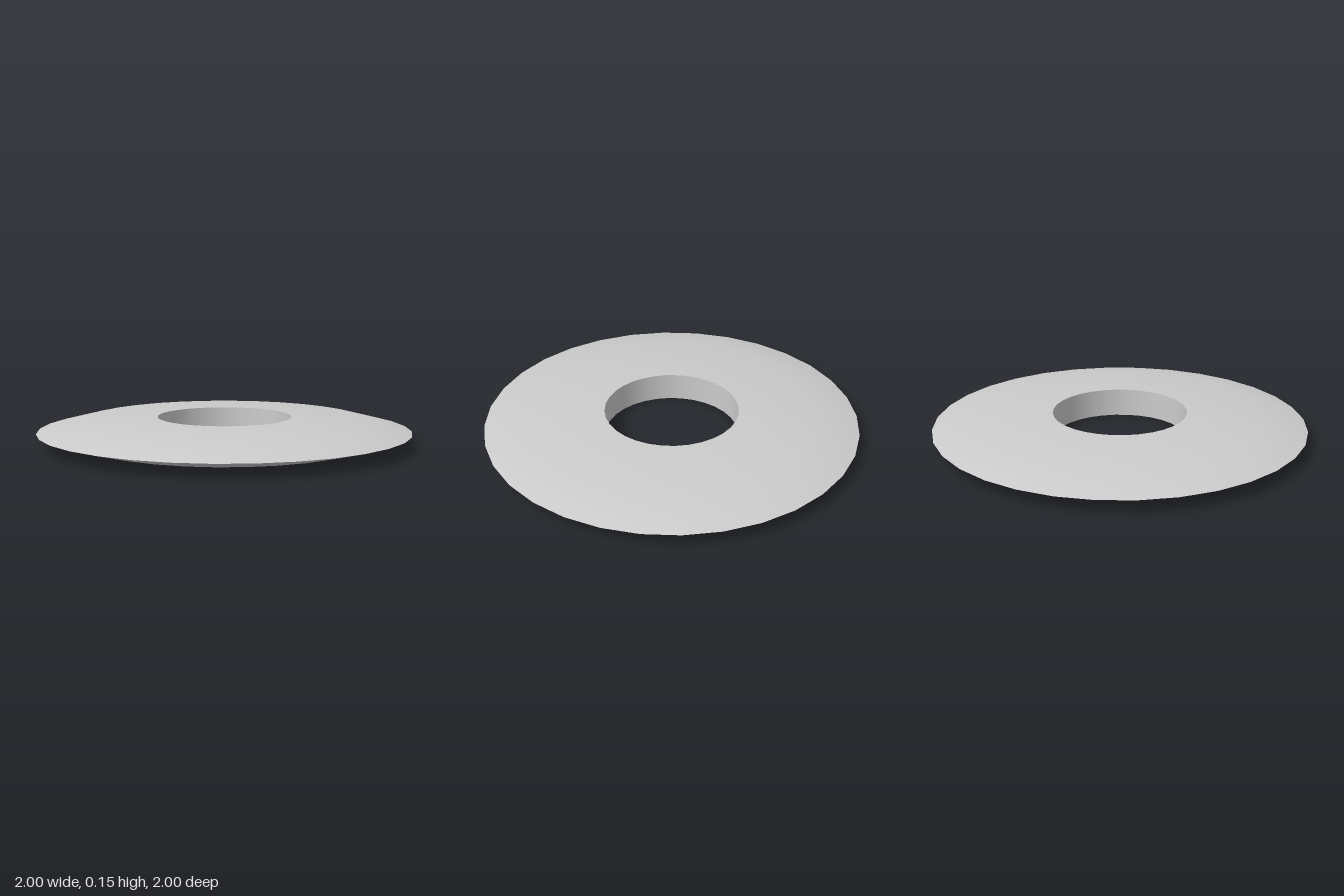
import * as THREE from 'three';

const SIDES = 32;
const HEIGHT = 0.15;
const HOLE = 0.358; // hole radius
const SHOULDER = 0.765; // radius where the bevel starts

export function createModel() {
  const group = new THREE.Group();
  group.name = 'ringDisc';
  const material = new THREE.MeshStandardMaterial({ color: 0xcccccc });

  // Each surface is its own lathe, so the edges between them stay sharp
  const addLathe = (name, profile) => {
    const points = profile.map(([r, y]) => new THREE.Vector2(r, y));
    const mesh = new THREE.Mesh(new THREE.LatheGeometry(points, SIDES), material);
    mesh.name = name;
    group.add(mesh);
  };

  // Gently domed upper face, bevelled down to the thin rim
  addLathe('upperFace', [[1, HEIGHT / 2], [SHOULDER, HEIGHT - 0.015], [HOLE, HEIGHT]]);
  // Mirrored lower face
  addLathe('lowerFace', [[HOLE, 0], [SHOULDER, 0.015], [1, HEIGHT / 2]]);
  // Straight wall of the central hole
  addLathe('holeWall', [[HOLE, HEIGHT], [HOLE, 0]]);

  return group;
}
